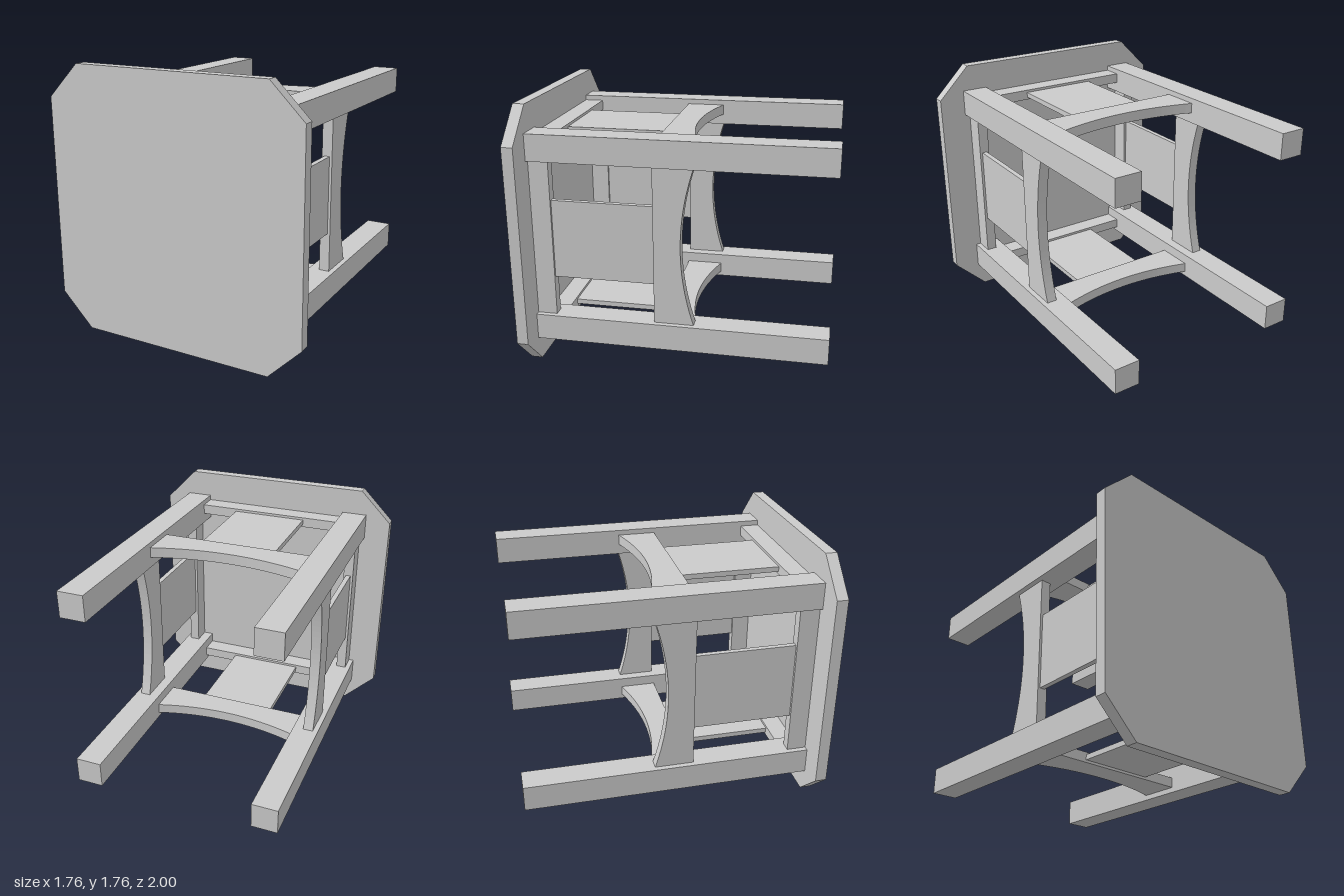
import * as THREE from 'three';

// Small square table lying on its side: the top faces +z, the legs point to -z.
const HALF = 0.88;           // half width of the top
const CUT = 0.22;            // corner chamfer of the top
const UNDERSIDE = 0.925;     // z where the legs meet the top
const LEG = 0.176;
const LEG_OUT = 0.704;       // outer face of the legs
const LEG_IN = LEG_OUT - LEG;
const RAIL = 0.07;           // thickness of aprons and stretchers
const RAIL_OUT = LEG_OUT - 0.035;
const RAIL_MID = RAIL_OUT - RAIL / 2;

export function createModel() {
  const material = new THREE.MeshStandardMaterial({ color: 0xcccccc, flatShading: true });
  const model = new THREE.Group();
  model.name = 'sideTable';

  function add(parent, name, geometry, x = 0, y = 0, z = 0) {
    const mesh = new THREE.Mesh(geometry, material);
    mesh.name = name;
    mesh.position.set(x, y, z);
    parent.add(mesh);
  }

  const body = new THREE.Group();
  body.name = 'table';
  body.position.y = HALF;
  model.add(body);

  // Top with chamfered corners
  const h = HALF, c = HALF - CUT;
  const outline = [[c, -h], [h, -c], [h, c], [c, h], [-c, h], [-h, c], [-h, -c], [-c, -h]];
  const topShape = new THREE.Shape(outline.map(([x, y]) => new THREE.Vector2(x, y)));
  add(body, 'tableTop',
    new THREE.ExtrudeGeometry(topShape, { depth: 1 - UNDERSIDE, bevelEnabled: false }), 0, 0, UNDERSIDE);

  // Four square legs
  const legLength = UNDERSIDE + 1;
  const legGeometry = new THREE.BoxGeometry(LEG, LEG, legLength);
  const legMid = LEG_OUT - LEG / 2;
  for (const sx of [-1, 1]) for (const sy of [-1, 1]) {
    add(body, 'leg', legGeometry, sx * legMid, sy * legMid, UNDERSIDE - legLength / 2);
  }

  // Stretcher with an arched edge, drawn in x/z and extruded through its thickness
  const stretcherShape = new THREE.Shape();
  stretcherShape.moveTo(-LEG_IN, 0.13);
  stretcherShape.lineTo(-LEG_IN, -0.13);
  stretcherShape.quadraticCurveTo(0, 0.04, LEG_IN, -0.13);
  stretcherShape.lineTo(LEG_IN, 0.13);
  stretcherShape.closePath();
  const stretcherGeometry = new THREE.ExtrudeGeometry(stretcherShape,
    { depth: RAIL, bevelEnabled: false, curveSegments: 24 });
  stretcherGeometry.rotateX(Math.PI / 2);

  const apronGeometry = new THREE.BoxGeometry(2 * LEG_IN, RAIL, 0.13);
  const panelGeometry = new THREE.BoxGeometry(0.528, RAIL / 2, 0.665);

  // Apron, back panel and stretcher repeat on all four sides
  for (let i = 0; i < 4; i++) {
    const side = new THREE.Group();
    side.name = 'sideFrame';
    side.rotation.z = i * Math.PI / 2;
    add(side, 'apron', apronGeometry, 0, RAIL_MID, UNDERSIDE - 0.065);
    add(side, 'panel', panelGeometry, 0, RAIL_MID, 0.13 + 0.665 / 2);
    add(side, 'archedStretcher', stretcherGeometry, 0, RAIL_OUT, 0);
    body.add(side);
  }

  return model;
}
